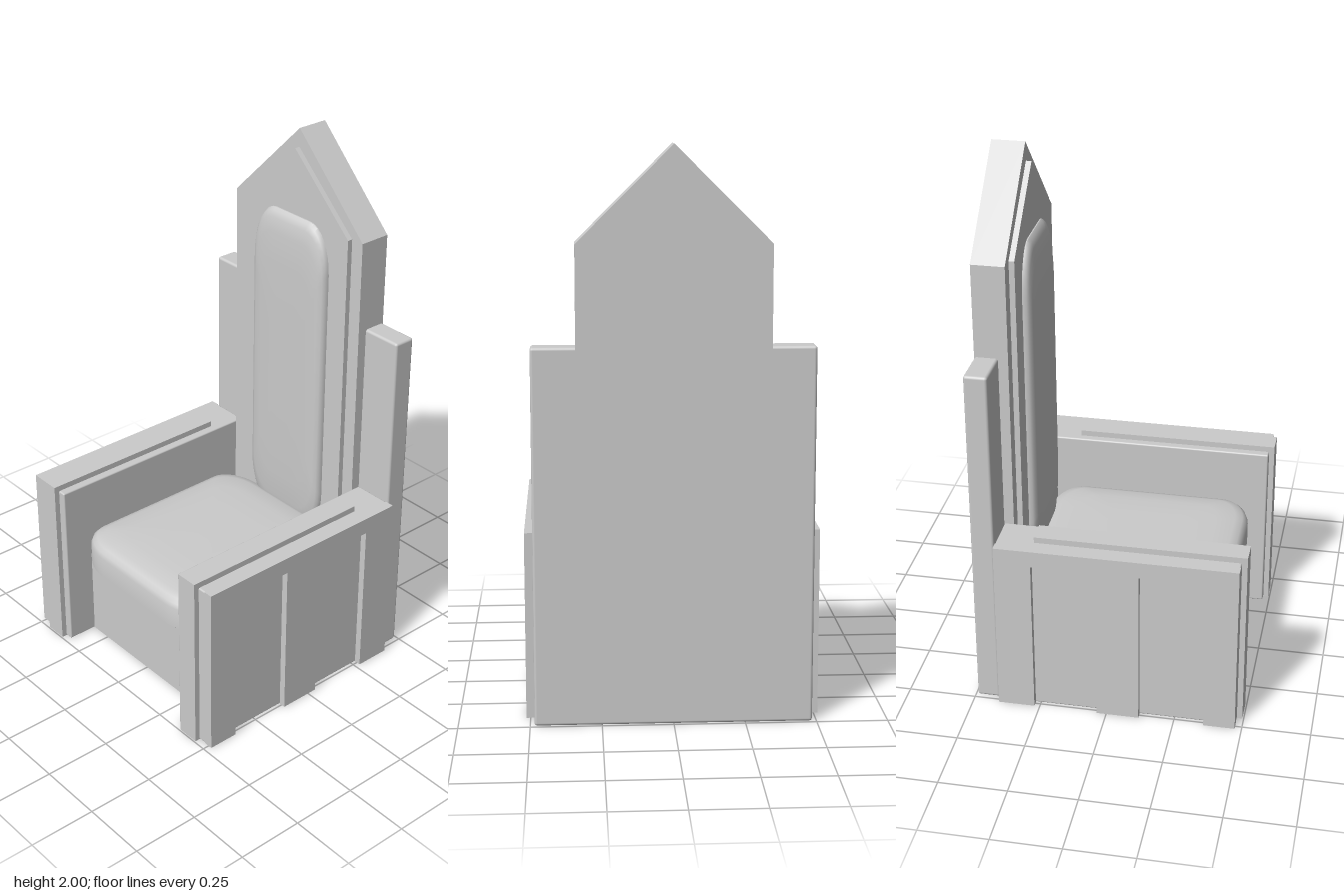
import * as THREE from 'three';
import { RoundedBoxGeometry } from 'three/addons/geometries/RoundedBoxGeometry.js';
import { toCreasedNormals } from 'three/addons/utils/BufferGeometryUtils.js';

const material = new THREE.MeshStandardMaterial({ color: 0xcccccc });

function add(parent, name, geometry, x = 0, y = 0, z = 0) {
  const mesh = new THREE.Mesh(geometry, material);
  mesh.name = name;
  mesh.position.set(x, y, z);
  parent.add(mesh);
  return mesh;
}

// Box given by its limits, optionally with softened edges
function block(parent, name, [x0, x1], [y0, y1], [z0, z1], radius = 0) {
  const size = [x1 - x0, y1 - y0, z1 - z0];
  const geometry = radius ? new RoundedBoxGeometry(...size, 2, radius) : new THREE.BoxGeometry(...size);
  return add(parent, name, geometry, (x0 + x1) / 2, (y0 + y1) / 2, (z0 + z1) / 2);
}

function plate(points, depth) {
  const shape = new THREE.Shape(points.map(([x, y]) => new THREE.Vector2(x, y)));
  return new THREE.ExtrudeGeometry(shape, { depth, bevelEnabled: false });
}

// Upright plate with a pointed gable
function gable(halfWidth, bottom, shoulder, apex, depth) {
  return plate([[-halfWidth, bottom], [halfWidth, bottom], [halfWidth, shoulder],
    [0, apex], [-halfWidth, shoulder]], depth);
}

// Cushion: rounded outline in XY, lofted along z through [scale, height] rings
function cushion(halfW, halfH, rx, ry, rings) {
  const outline = [];
  const steps = 8;
  [[1, 1], [-1, 1], [-1, -1], [1, -1]].forEach(([sx, sy], corner) => {
    for (let i = 0; i <= steps; i++) {
      const a = (corner + i / steps) * Math.PI / 2;
      outline.push([sx * (halfW - rx) + rx * Math.cos(a), sy * (halfH - ry) + ry * Math.sin(a)]);
    }
  });
  const n = outline.length;
  const positions = [];
  const index = [];
  rings.forEach(([scale, z], r) => {
    outline.forEach(([x, y], i) => {
      positions.push(x * scale, y * scale, z);
      if (r === 0) return;
      const a = (r - 1) * n + i;
      const b = (r - 1) * n + (i + 1) % n;
      index.push(a, b, b + n, a, b + n, a + n);
    });
  });
  const geometry = new THREE.BufferGeometry();
  geometry.setAttribute('position', new THREE.Float32BufferAttribute(positions, 3));
  geometry.setIndex(index);
  return toCreasedNormals(geometry, 0.7);
}

function buildArm(side) {
  const arm = new THREE.Group();
  arm.name = side > 0 ? 'leftArm' : 'rightArm';
  const span = (a, b) => (side > 0 ? [a, b] : [-b, -a]);
  block(arm, 'armCore', span(0.335, 0.49), [0, 0.668], [-0.405, 0.475], 0.006);

  // Outer face with two recesses that run down to the floor
  const face = plate([[-0.405, 0], [-0.27, 0], [-0.27, 0.605], [-0.035, 0.605], [-0.035, 0],
    [0.12, 0], [0.12, 0.605], [0.36, 0.605], [0.36, 0], [0.475, 0],
    [0.475, 0.668], [-0.405, 0.668]], 0.035);
  face.rotateY(-Math.PI / 2);
  add(arm, 'armOuterFace', face, side > 0 ? 0.515 : -0.48);

  // Raised strip along the top and down the front
  block(arm, 'armTopStrip', span(0.365, 0.45), [0.64, 0.69], [-0.27, 0.495]);
  block(arm, 'armFrontStrip', span(0.365, 0.45), [0, 0.64], [0.46, 0.495]);
  return arm;
}

export function createModel() {
  const throne = new THREE.Group();
  throne.name = 'throne';

  for (const side of [1, -1]) throne.add(buildArm(side));

  // Seat base is hollow, with only a front board
  block(throne, 'seatFrontBoard', [-0.34, 0.34], [0, 0.35], [0.33, 0.36]);

  const seat = cushion(0.335, 0.39, 0.155, 0.1, [[0.001, 0.338], [0.97, 0.338], [1, 0.35], [1, 0.432],
    [0.985, 0.45], [0.95, 0.464], [0.88, 0.473], [0.7, 0.48], [0.4, 0.483], [0.001, 0.483]]);
  seat.rotateX(-Math.PI / 2);
  add(throne, 'seatCushion', seat, 0, 0, 0.03);

  // Backrest: broad rear board, gabled slab, thinner raised panel, padding
  block(throne, 'backBoard', [-0.485, 0.485], [0, 1.325], [-0.493, -0.408], 0.01);
  add(throne, 'backGable', gable(0.332, 0.35, 1.67, 2, 0.121), 0, 0, -0.493);
  add(throne, 'backPanel', gable(0.28, 0.35, 1.67, 1.93, 0.03), 0, 0, -0.382);
  add(throne, 'backCushion', cushion(0.19, 0.64, 0.1, 0.18, [[0.001, -0.37], [1, -0.37], [1, -0.348],
    [0.985, -0.337], [0.95, -0.328], [0.87, -0.321], [0.7, -0.317], [0.4, -0.315], [0.001, -0.315]]), 0, 1.04, 0);

  return throne;
}
